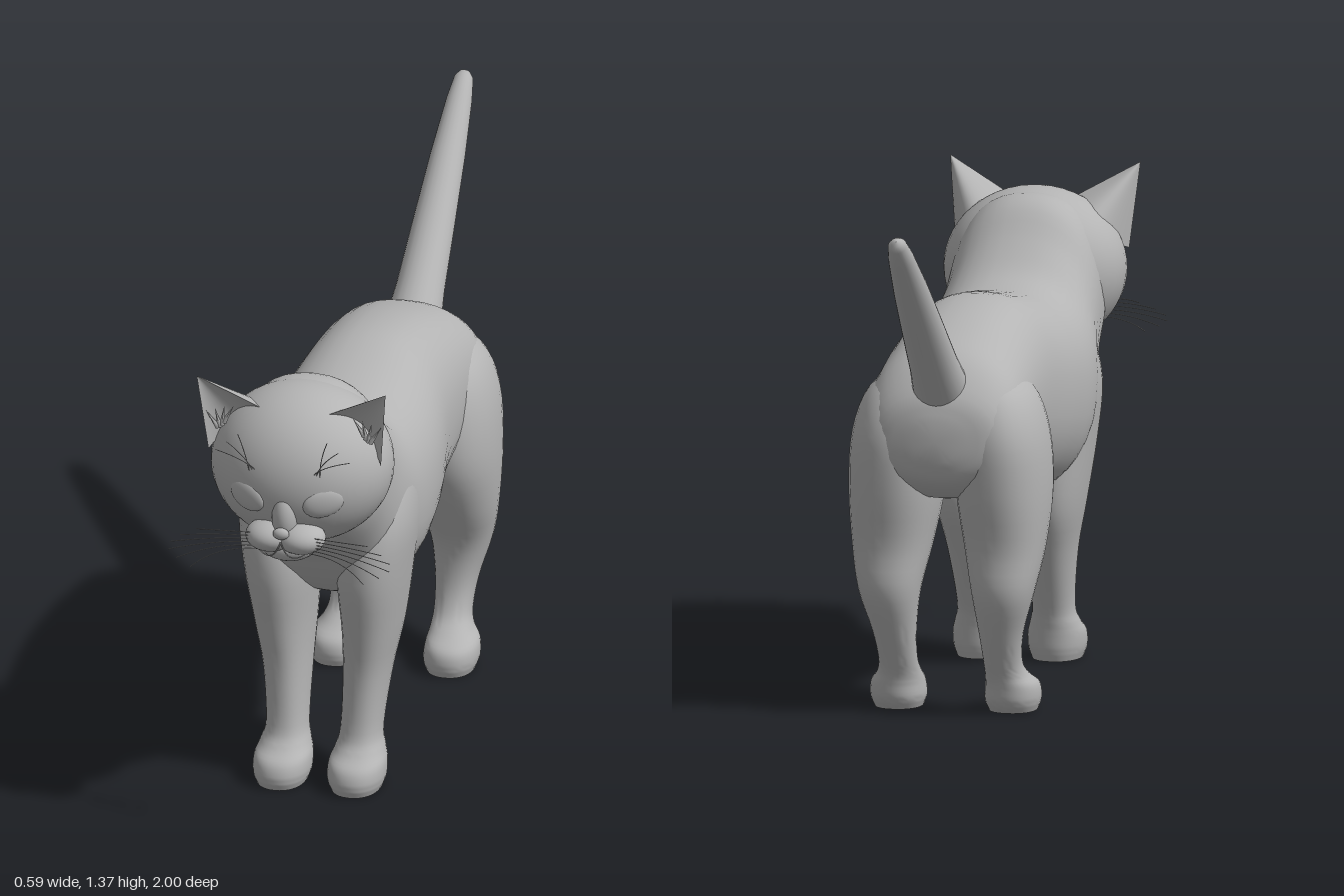
import * as THREE from 'three';
import { toCreasedNormals } from 'three/addons/utils/BufferGeometryUtils.js';

const fur = new THREE.MeshStandardMaterial({ color: 0xb4b4b4, side: THREE.DoubleSide });
fur.name = 'grey fur';
const V = (x, y, z) => new THREE.Vector3(x, y, z);
const SIDES = [['left', 1], ['right', -1]];

function add(parent, name, geometry) {
  const mesh = new THREE.Mesh(geometry, fur);
  mesh.name = name;
  parent.add(mesh);
  return mesh;
}

// Smooth closed skin through elliptical sections {c: centre, r: radii}; u x v is the direction of travel
function loft(sections, u, v, power = 2, around = 32, steps = 4) {
  const centres = new THREE.CatmullRomCurve3(sections.map(s => s.c), false, 'catmullrom');
  const radii = new THREE.CatmullRomCurve3(sections.map(s => s.r), false, 'catmullrom');
  const rows = (sections.length - 1) * steps;
  const pos = [], index = [];
  const bend = t => Math.sign(t) * Math.abs(t) ** (2 / power);
  for (let i = 0; i <= rows; i++) {
    const c = centres.getPoint(i / rows), r = radii.getPoint(i / rows);
    for (let j = 0; j < around; j++) {
      const a = j / around * Math.PI * 2, p = c.clone();
      p[u] += r[u] * bend(Math.cos(a));
      p[v] += r[v] * bend(Math.sin(a));
      pos.push(p.x, p.y, p.z);
      if (i < rows) {
        const k = i * around, n = (j + 1) % around;
        index.push(k + j, k + n, k + around + j, k + n, k + around + n, k + around + j);
      }
    }
  }
  const start = pos.length / 3, last = rows * around;
  pos.push(...sections[0].c.toArray(), ...sections.at(-1).c.toArray());
  for (let j = 0; j < around; j++) {
    const n = (j + 1) % around;
    index.push(start, n, j, start + 1, last + j, last + n);
  }
  const g = new THREE.BufferGeometry();
  g.setAttribute('position', new THREE.Float32BufferAttribute(pos, 3));
  g.setIndex(index);
  return toCreasedNormals(g, 0.95);
}

// Leg rows from the ground up: y, front z, back z, inner x, outer x
const leg = (rows, side) => loft(rows.map(([y, f, b, i, o]) => ({
  c: V(side * (i + o) / 2, y, (f + b) / 2), r: V((o - i) / 2, 0, (f - b) / 2),
})), 'z', 'x', 2.2);

const FRONT_LEG = [
  [0, 0.625, 0.44, 0.035, 0.165], [0.03, 0.635, 0.43, 0.025, 0.175], [0.07, 0.622, 0.425, 0.025, 0.175],
  [0.1, 0.58, 0.42, 0.035, 0.165], [0.15, 0.553, 0.405, 0.045, 0.155], [0.3, 0.548, 0.335, 0.045, 0.17],
  [0.43, 0.57, 0.275, 0.04, 0.195], [0.6, 0.605, 0.265, 0.03, 0.22], [0.75, 0.585, 0.27, 0.04, 0.235],
  [0.88, 0.5, 0.3, 0.07, 0.212], [0.95, 0.43, 0.36, 0.1, 0.15],
];
const BACK_LEG = [
  [0, -0.175, -0.335, 0.09, 0.215], [0.03, -0.165, -0.355, 0.08, 0.225], [0.07, -0.175, -0.362, 0.083, 0.222],
  [0.1, -0.225, -0.37, 0.088, 0.2], [0.14, -0.27, -0.39, 0.09, 0.19], [0.22, -0.295, -0.43, 0.085, 0.2],
  [0.33, -0.285, -0.475, 0.07, 0.232], [0.45, -0.215, -0.475, 0.045, 0.255], [0.6, -0.14, -0.502, 0.02, 0.266],
  [0.75, -0.135, -0.512, 0.02, 0.255], [0.86, -0.17, -0.47, 0.03, 0.212], [0.93, -0.25, -0.38, 0.06, 0.12],
];
// Body rows from rump to neck: z, top y, bottom y, half width
const BODY = [
  [-0.525, 0.8, 0.69, 0.06], [-0.5, 0.87, 0.63, 0.16], [-0.42, 0.955, 0.58, 0.205], [-0.3, 1.0, 0.57, 0.21],
  [-0.15, 1.035, 0.55, 0.21], [0, 1.05, 0.52, 0.215], [0.15, 1.03, 0.49, 0.235], [0.28, 1.015, 0.468, 0.24],
  [0.4, 1.03, 0.485, 0.235], [0.5, 1.105, 0.54, 0.213], [0.58, 1.185, 0.61, 0.205], [0.66, 1.203, 0.7, 0.2],
  [0.75, 1.17, 0.78, 0.17],
];

function ellipsoid(x, y, z, rx, ry, rz, n = 24) {
  return new THREE.SphereGeometry(1, n, Math.ceil(n * 0.7)).scale(rx, ry, rz).translate(x, y, z);
}

// Curved sheet from a base arc up to the ear tip
function earSheet(side, depth) {
  const at = (x, y, z) => V(side * x, y, z);
  const base = new THREE.QuadraticBezierCurve3(at(0.085, 1.17, 0.8), depth, at(0.232, 1.04, 0.8));
  const tip = at(0.254, 1.262, 0.838), n = 14, m = 6, pos = [], index = [];
  for (let i = 0; i <= m; i++) for (let j = 0; j <= n; j++) {
    const p = base.getPoint(j / n).lerp(tip, i / m);
    pos.push(p.x, p.y, p.z);
    if (i < m && j < n) {
      const a = i * (n + 1) + j, b = a + n + 1;
      if (side > 0) index.push(a, b, a + 1, a + 1, b, b + 1);
      else index.push(a, a + 1, b, a + 1, b + 1, b);
    }
  }
  const g = new THREE.BufferGeometry();
  g.setAttribute('position', new THREE.Float32BufferAttribute(pos, 3));
  g.setIndex(index);
  g.computeVertexNormals();
  return g;
}

const strand = (a, mid, b, r = 0.0012) =>
  new THREE.TubeGeometry(new THREE.QuadraticBezierCurve3(a, mid, b), 8, r, 4);

export function createModel() {
  const cat = new THREE.Group();
  cat.name = 'cat';

  // Torso and neck
  add(cat, 'torso', loft(BODY.map(([z, t, b, w]) => ({
    c: V(0, (t + b) / 2, z), r: V(w, (t - b) / 2, 0),
  })), 'x', 'y', 2.3, 40));

  // Legs
  for (const [name, s] of SIDES) {
    add(cat, name + 'FrontLeg', leg(FRONT_LEG, s));
    add(cat, name + 'BackLeg', leg(BACK_LEG, s));
  }

  // Tail
  const profile = [[0.075, 0], [0.064, 0.12], [0.056, 0.3], [0.046, 0.5], [0.034, 0.66], [0.025, 0.725],
    [0.014, 0.741], [0, 0.745]].map(p => new THREE.Vector2(...p));
  const tail = add(cat, 'tail', new THREE.LatheGeometry(profile, 24));
  tail.position.set(0, 0.87, -0.44);
  tail.rotation.x = -0.852;

  // Head, muzzle and nose
  const head = new THREE.Group();
  head.name = 'head';
  cat.add(head);
  add(head, 'skull', ellipsoid(0, 0.997, 0.715, 0.241, 0.213, 0.217, 40));
  add(head, 'chin', ellipsoid(0, 0.822, 0.87, 0.075, 0.04, 0.055));
  add(head, 'noseBridge', ellipsoid(0, 0.92, 0.9, 0.035, 0.07, 0.043));
  add(head, 'nose', ellipsoid(0, 0.885, 0.945, 0.022, 0.016, 0.014, 16));

  for (const [name, s] of SIDES) {
    add(head, name + 'MuzzlePad', ellipsoid(s * 0.042, 0.858, 0.895, 0.065, 0.042, 0.062));
    add(head, name + 'Mouth', strand(V(0, 0.862, 0.948), V(s * 0.02, 0.8, 0.955), V(s * 0.06, 0.825, 0.928), 0.002));

    // Almond eye lying on the curve of the face
    const eye = add(head, name + 'Eye', ellipsoid(0, 0, 0, 0.056, 0.042, 0.018));
    eye.position.set(s * 0.102, 0.965, 0.898);
    eye.rotation.set(0.08, s * 0.45, s * 0.2);

    // Ear shell, inner hollow and fur tufts
    add(head, name + 'Ear', earSheet(s, V(s * 0.15, 1.12, 0.52)));
    add(head, name + 'EarHollow', earSheet(s, V(s * 0.17, 1.12, 0.7)));
    for (let i = 0; i < 4; i++) {
      const tuft = add(head, name + 'EarTuft', new THREE.ConeGeometry(0.008, 0.06, 5));
      tuft.position.set(s * (0.175 + i * 0.015), 1.15 - i * 0.006, 0.81);
      tuft.rotation.set(0.2, 0, s * (0.5 - i * 0.35));
    }

    // Whiskers and brow hairs
    for (let i = 0; i < 6; i++) {
      const y = 0.872 - i * 0.009;
      add(head, name + 'Whisker', strand(V(s * 0.07, y, 0.925), V(s * 0.17, y + 0.012, 0.96),
        V(s * (0.23 + 0.07 * Math.sin(i * 0.62)), y - 0.002 - i * 0.008, 0.935 + i * 0.011)));
    }
    for (let i = 0; i < 3; i++) {
      add(head, name + 'BrowHair', strand(V(s * (0.075 + i * 0.01), 1.04, 0.908), V(s * 0.1, 1.08 + i * 0.01, 0.93),
        V(s * (0.18 - i * 0.03), 1.1 + i * 0.025, 0.93)));
    }
  }
  return cat;
}
